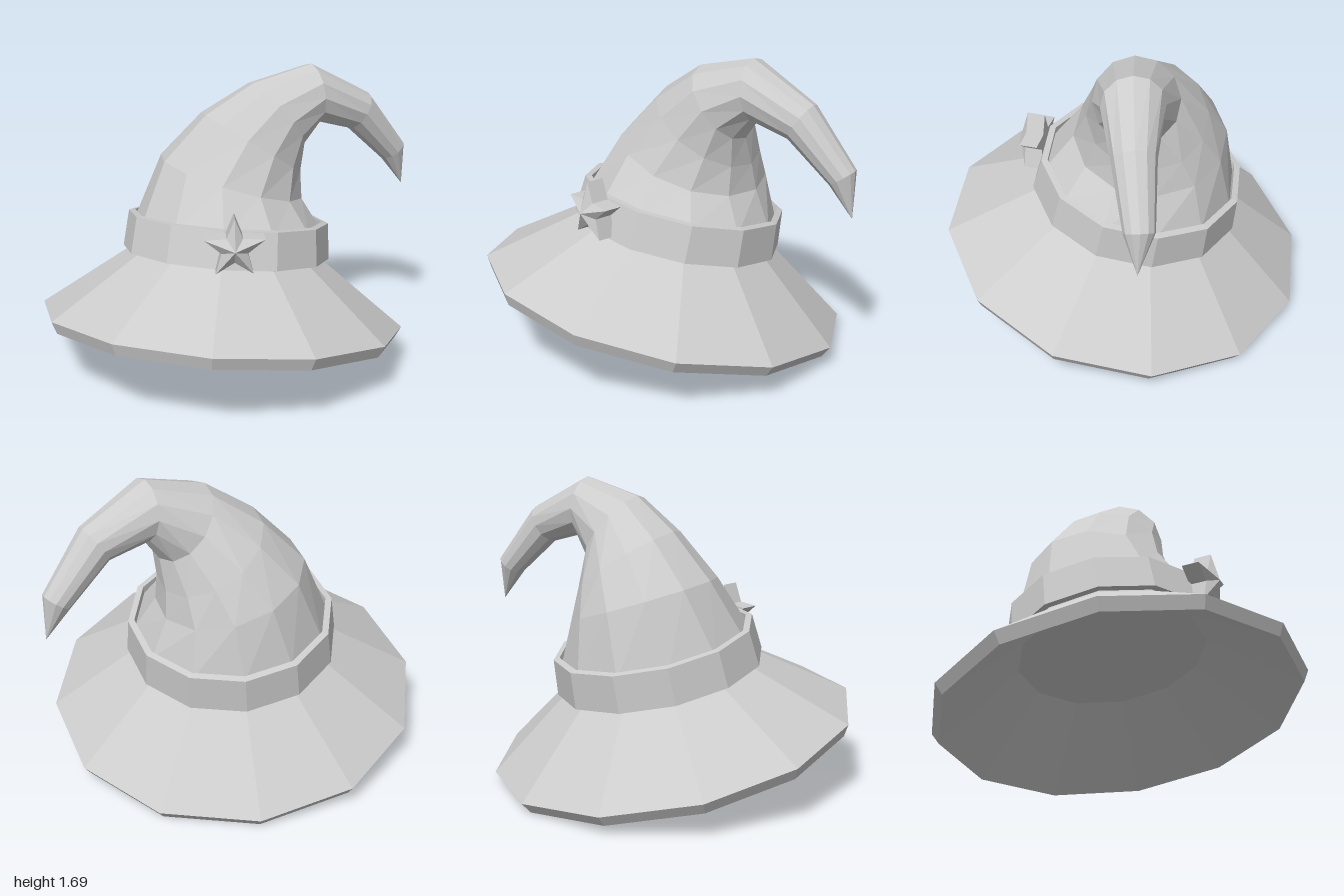
import * as THREE from 'three';

const SIDES = 12;
const LEAN = THREE.MathUtils.degToRad(-12);
const deg = THREE.MathUtils.degToRad;

const felt = new THREE.MeshStandardMaterial({ color: 0xcccccc, flatShading: true });
felt.name = 'grey felt';

// Skins a list of rings (each counter-clockwise seen from the end of the list) with flat facets
function loft(name, rings) {
  const pos = [];
  const tri = (a, b, c) => {
    if (a.distanceTo(b) < 1e-6 || b.distanceTo(c) < 1e-6 || a.distanceTo(c) < 1e-6) return;
    for (const p of [a, b, c]) pos.push(p.x, p.y, p.z);
  };
  for (let i = 0; i + 1 < rings.length; i++) {
    const lo = rings[i], hi = rings[i + 1], n = lo.length;
    for (let k = 0; k < n; k++) {
      const m = (k + 1) % n;
      tri(lo[k], lo[m], hi[m]);
      tri(lo[k], hi[m], hi[k]);
    }
  }
  const geo = new THREE.BufferGeometry();
  geo.setAttribute('position', new THREE.Float32BufferAttribute(pos, 3));
  geo.computeVertexNormals();
  const mesh = new THREE.Mesh(geo, felt);
  mesh.name = name;
  return mesh;
}

// Twelve-sided ring about the leaning axis of the hat
function axisRing(radius, height) {
  return Array.from({ length: SIDES }, (_, k) => {
    const a = deg(135 - 30 * k);
    return new THREE.Vector3(Math.cos(a) * radius, height, Math.sin(a) * radius)
      .applyAxisAngle(new THREE.Vector3(1, 0, 0), LEAN)
      .add(new THREE.Vector3(0, 0.267, 0));
  });
}

// Ring of the bending crown, tipped by an angle towards the left and back
function bentRing([x, y, z, tilt, radius]) {
  const t = deg(tilt), heading = deg(-40);
  const d = new THREE.Vector3(Math.cos(heading), 0, Math.sin(heading));
  const side = new THREE.Vector3(-d.z, 0, d.x);
  const outer = d.clone().multiplyScalar(-Math.cos(t));
  outer.y = Math.sin(t);
  return Array.from({ length: SIDES }, (_, k) => {
    const a = deg(30 * k);
    return new THREE.Vector3(x, y, z)
      .addScaledVector(outer, radius * Math.cos(a))
      .addScaledVector(side, radius * Math.sin(a));
  });
}

// Five-pointed outline at a given depth
function starRing(scale, z) {
  return Array.from({ length: 10 }, (_, k) => {
    const r = scale * (k % 2 ? 0.073 : 0.168), a = deg(90 + 36 * k);
    return new THREE.Vector3(r * Math.cos(a), r * Math.sin(a), z);
  });
}

export function createModel() {
  const hat = new THREE.Group();
  hat.name = 'pointedHat';

  // Brim: closed inside, hollow underside, bevelled rim, sloping top
  const brim = [[0, 0.3], [0.53, 0.3], [1.0, -0.066], [1.035, 0], [0.555, 0.355], [0.54, 0.4]];
  hat.add(loft('brim', brim.map(([r, h]) => axisRing(r, h))));

  // Band round the foot of the crown
  const band = [[0.53, 0.365], [0.59, 0.365], [0.57, 0.569], [0.535, 0.575], [0.53, 0.5]];
  hat.add(loft('band', band.map(([r, h]) => axisRing(r, h))));

  // Crown curling over into a drooping tip: x, y, z, tilt, radius
  const crown = [
    [0, 1.05, -0.17, 18, 0.42],
    [0.1, 1.25, -0.22, 33, 0.325],
    [0.24, 1.42, -0.25, 52, 0.23],
    [0.42, 1.525, -0.36, 85, 0.165],
    [0.645, 1.4, -0.53, 122, 0.115],
    [0.82, 1.14, -0.69, 145, 0.08],
    [0.88, 0.93, -0.725, 160, 0],
  ];
  hat.add(loft('crown', [axisRing(0.533, 0.53), ...crown.map(bentRing)]));

  // Star badge with a raised middle
  const star = loft('starBadge', [starRing(0, -0.1), starRing(1, -0.1), starRing(1, 0), starRing(0, 0.05)]);
  star.position.set(0.235, 0.875, 0.505);
  star.rotation.y = deg(21);
  hat.add(star);

  return hat;
}
